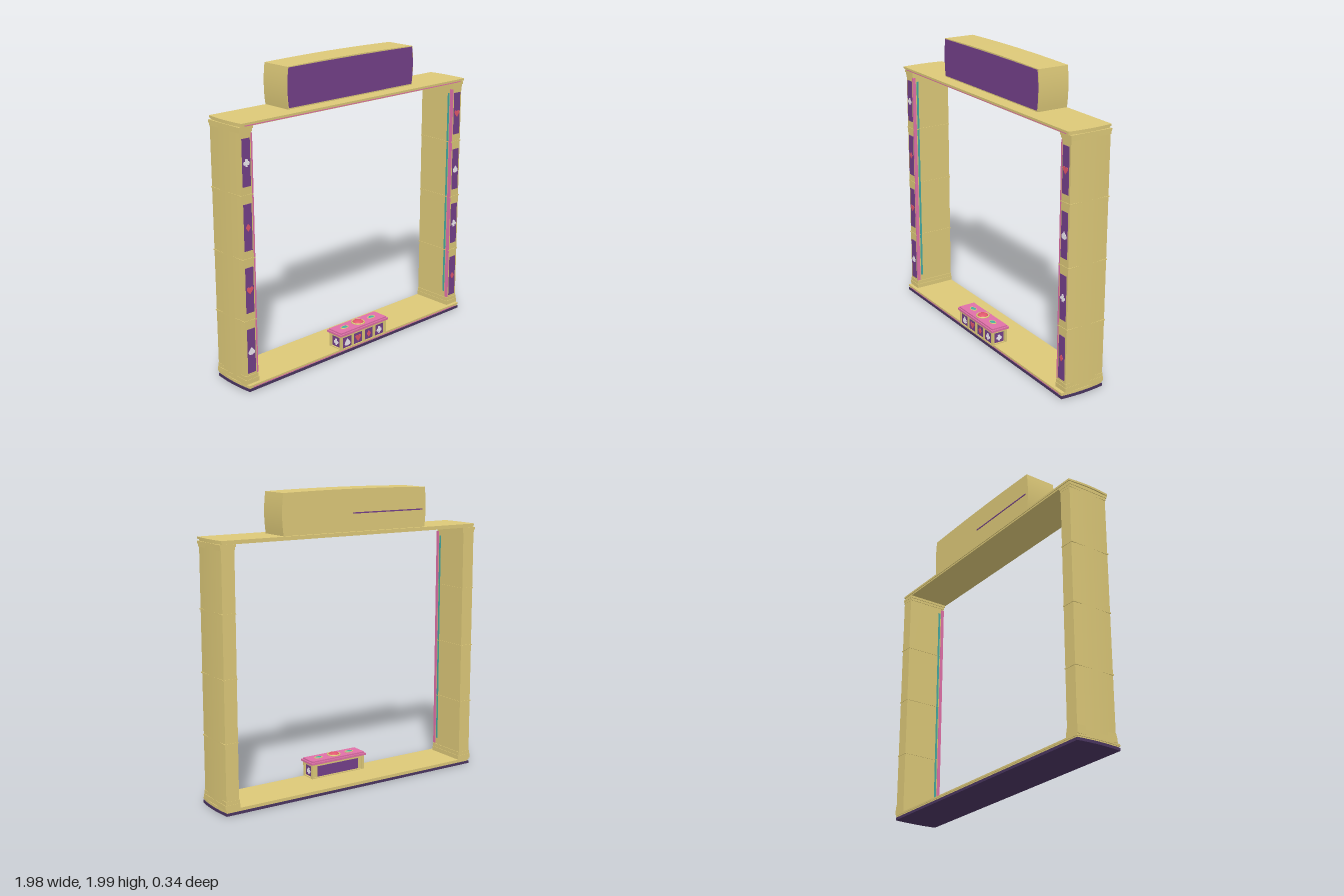
import * as THREE from 'three';

const mat = (color) => new THREE.MeshStandardMaterial({ color });

export function createModel() {
  const root = new THREE.Group();
  root.name = 'carvedGateway';
  const gold = mat(0xdcc878), purple = mat(0x74408a), darkPurple = mat(0x4a3560);
  const pink = mat(0xe070a8), red = mat(0xe0566c), white = mat(0xf0eaf2), teal = mat(0x45aaa0);

  const add = (parent, name, geo, m, x = 0, y = 0, z = 0) => {
    const mesh = new THREE.Mesh(geo, m);
    mesh.name = name;
    mesh.position.set(x, y, z);
    parent.add(mesh);
    return mesh;
  };
  // box given by its limits on each axis
  const box = (parent, name, m, x0, x1, y0, y1, z0, z1) =>
    add(parent, name, new THREE.BoxGeometry(x1 - x0, y1 - y0, z1 - z0), m,
      (x0 + x1) / 2, (y0 + y1) / 2, (z0 + z1) / 2);

  // box whose sides and top swell gently towards their middles
  const swollenBox = (w, h, d, bx, by, side = 0) => {
    const g = new THREE.BoxGeometry(w, h, d, 12, 8, 8);
    const p = g.attributes.position;
    for (let i = 0; i < p.count; i++) {
      const u = 2 * p.getX(i) / w, v = 2 * p.getY(i) / h, t = 2 * p.getZ(i) / d;
      const swell = side ? Math.max(0, u * side) * side * (1 - t * t) : u * (1 - v * v);
      p.setX(i, p.getX(i) + bx * swell);
      p.setY(i, p.getY(i) + by * Math.max(0, v) * (1 - u * u));
    }
    g.computeVertexNormals();
    return g;
  };

  // card suit outlines, about one unit tall
  const leafShape = (dir) => {
    const s = new THREE.Shape();
    s.moveTo(0, -0.5 * dir);
    s.bezierCurveTo(0.2, -0.25 * dir, 0.52, -0.02 * dir, 0.5, 0.22 * dir);
    s.bezierCurveTo(0.48, 0.52 * dir, 0.1, 0.5 * dir, 0, 0.24 * dir);
    s.bezierCurveTo(-0.1, 0.5 * dir, -0.48, 0.52 * dir, -0.5, 0.22 * dir);
    s.bezierCurveTo(-0.52, -0.02 * dir, -0.2, -0.25 * dir, 0, -0.5 * dir);
    return s;
  };
  const poly = (...pts) => new THREE.Shape(pts.map(([x, y]) => new THREE.Vector2(x, y)));
  const disc = (x, y, r) => new THREE.Shape().absarc(x, y, r, 0, Math.PI * 2);
  const stem = () => poly([-0.2, -0.5], [0.2, -0.5], [0.05, -0.1], [-0.05, -0.1]);
  const suits = {
    heart: { m: red, shapes: [leafShape(1)] },
    diamond: { m: red, shapes: [poly([0, -0.5], [0.38, 0], [0, 0.5], [-0.38, 0])] },
    spade: { m: white, shapes: [leafShape(-1), stem()] },
    club: { m: white, shapes: [disc(0, 0.25, 0.23), disc(-0.25, -0.08, 0.23), disc(0.25, -0.08, 0.23), stem()] },
  };
  const addSuit = (parent, kind, size, x, y, z, turn = 0) => {
    const g = new THREE.ExtrudeGeometry(suits[kind].shapes, { depth: 0.05, bevelEnabled: false, curveSegments: 8 });
    const mesh = add(parent, kind + 'Inlay', g, suits[kind].m, x, y, z);
    mesh.scale.set(size, size, 0.06);
    mesh.rotation.y = turn;
  };

  // flat slab with slightly bowed ends
  const slab = (name, m, hx, y0, y1, z0, z1) => {
    const s = new THREE.Shape();
    s.moveTo(-hx + 0.012, -z1);
    s.lineTo(hx - 0.012, -z1);
    s.quadraticCurveTo(hx + 0.01, -(z0 + z1) / 2, hx - 0.012, -z0);
    s.lineTo(-hx + 0.012, -z0);
    s.quadraticCurveTo(-hx - 0.01, -(z0 + z1) / 2, -hx + 0.012, -z1);
    const g = new THREE.ExtrudeGeometry(s, { depth: y1 - y0, bevelEnabled: false, curveSegments: 10 });
    g.rotateX(-Math.PI / 2);
    add(root, name, g, m, 0, y0, 0);
  };
  slab('baseUnderside', darkPurple, 0.993, 0, 0.018, -0.168, 0.15);
  slab('baseSlab', gold, 0.988, 0.018, 0.028, -0.165, 0.146);
  slab('baseTop', gold, 0.993, 0.028, 0.04, -0.168, 0.15);
  slab('lintelLower', gold, 0.985, 1.695, 1.706, -0.165, 0.134);
  slab('lintelTop', gold, 0.993, 1.706, 1.72, -0.17, 0.142);
  box(root, 'baseTrim', pink, -0.95, 0.95, 0.02, 0.026, 0.14, 0.148);
  box(root, 'lintelTrim', pink, -0.95, 0.95, 1.698, 1.704, 0.13, 0.137);

  // columns with framed panels, seams, base and cap
  const orders = { '-1': ['spade', 'heart', 'diamond', 'club'], 1: ['diamond', 'club', 'spade', 'heart'] };
  for (const s of [-1, 1]) {
    const col = new THREE.Group();
    col.name = s > 0 ? 'leftColumn' : 'rightColumn';
    root.add(col);
    const band = (name, m, xIn, xOut, y0, y1, z0, z1) =>
      box(col, name, m, Math.min(s * xIn, s * xOut), Math.max(s * xIn, s * xOut), y0, y1, z0, z1);
    add(col, 'columnShaft', swollenBox(0.09, 1.66, 0.285, 0.006, 0, s), gold, s * 0.936, 0.866, -0.0225);
    band('columnFoot', gold, 0.884, 0.988, 0.04, 0.07, -0.168, 0.126);
    band('columnFootStep', gold, 0.887, 0.985, 0.07, 0.095, -0.166, 0.123);
    band('columnCap', gold, 0.882, 0.99, 1.678, 1.696, -0.168, 0.127);
    band('columnCapStep', gold, 0.887, 0.986, 1.66, 1.678, -0.166, 0.123);
    for (const y of [0.463, 0.868, 1.273]) band('columnSeam', gold, 0.888, 0.987, y - 0.004, y + 0.004, -0.168, 0.123);
    band('innerEdgeTrim', pink, 0.887, 0.897, 0.1, 1.65, 0.1, 0.122);
    band('innerLightStrip', teal, 0.888, 0.895, 0.14, 1.62, 0.078, 0.092);
    orders[s].forEach((kind, i) => {
      const y = 0.26 + i * 0.405;
      band('columnPanel', purple, 0.907, 0.967, y - 0.148, y + 0.148, 0.118, 0.124);
      addSuit(col, kind, 0.05, s * 0.937, y, 0.123);
    });
  }

  // sign block above the lintel
  const sign = new THREE.Group();
  sign.name = 'signBlock';
  root.add(sign);
  add(sign, 'signBody', swollenBox(1.094, 0.264, 0.218, 0.01, 0.008), gold, 0, 1.854, -0.057);
  add(sign, 'signFace', swollenBox(1.08, 0.25, 0.008, 0.01, 0.004), purple, 0, 1.856, 0.053);
  box(sign, 'signBackLine', purple, -0.53, 0.03, 1.836, 1.844, -0.169, -0.16);

  // small chest at the front of the base
  const chest = new THREE.Group();
  chest.name = 'chest';
  root.add(chest);
  box(chest, 'chestBody', gold, -0.2, 0.2, 0.04, 0.14, 0.055, 0.157);
  box(chest, 'chestFoot', gold, -0.21, 0.21, 0.036, 0.046, 0.047, 0.164);
  box(chest, 'chestCornice', gold, -0.212, 0.212, 0.126, 0.142, 0.045, 0.165);
  for (const x of [-0.203, -0.1, 0, 0.1, 0.203]) box(chest, 'chestPost', gold, x - 0.009, x + 0.009, 0.04, 0.135, 0.15, 0.163);
  ['spade', 'heart', 'diamond', 'club'].forEach((kind, i) => {
    const x = -0.15 + i * 0.1;
    box(chest, 'chestPanel', purple, x - 0.037, x + 0.037, 0.047, 0.122, 0.15, 0.159);
    addSuit(chest, kind, 0.05, x, 0.084, 0.158);
  });
  for (const s of [-1, 1]) {
    box(chest, 'chestSidePanel', purple, s * 0.2 - 0.004, s * 0.2 + 0.004, 0.05, 0.122, 0.07, 0.142);
    addSuit(chest, 'club', 0.046, s * 0.203, 0.085, 0.106, s * Math.PI / 2);
    for (const z of [0.055, 0.155]) box(chest, 'chestCornerPost', gold, s * 0.203 - 0.009, s * 0.203 + 0.009, 0.04, 0.135, z - 0.008, z + 0.008);
  }
  box(chest, 'chestBackPanel', purple, -0.165, 0.165, 0.05, 0.122, 0.051, 0.06);
  box(chest, 'lid', pink, -0.222, 0.222, 0.14, 0.154, 0.036, 0.173);
  box(chest, 'lidTop', pink, -0.212, 0.212, 0.154, 0.164, 0.046, 0.164);

  // lid ornaments
  const ring = (r, t) => new THREE.TorusGeometry(r, t, 8, 24).rotateX(Math.PI / 2);
  add(chest, 'gemRing', ring(0.042, 0.006), gold, 0, 0.166, 0.105);
  add(chest, 'gem', new THREE.SphereGeometry(0.038, 20, 8, 0, Math.PI * 2, 0, Math.PI / 2).scale(1, 0.5, 1), red, 0, 0.164, 0.105);
  for (const s of [-1, 1]) {
    add(chest, 'sideGemRing', ring(0.022, 0.004).scale(1.3, 1, 0.8), gold, s * 0.125, 0.165, 0.105);
    add(chest, 'sideGem', new THREE.SphereGeometry(0.02, 16, 6, 0, Math.PI * 2, 0, Math.PI / 2).scale(1.3, 0.4, 0.8), teal, s * 0.125, 0.164, 0.105);
  }
  return root;
}
